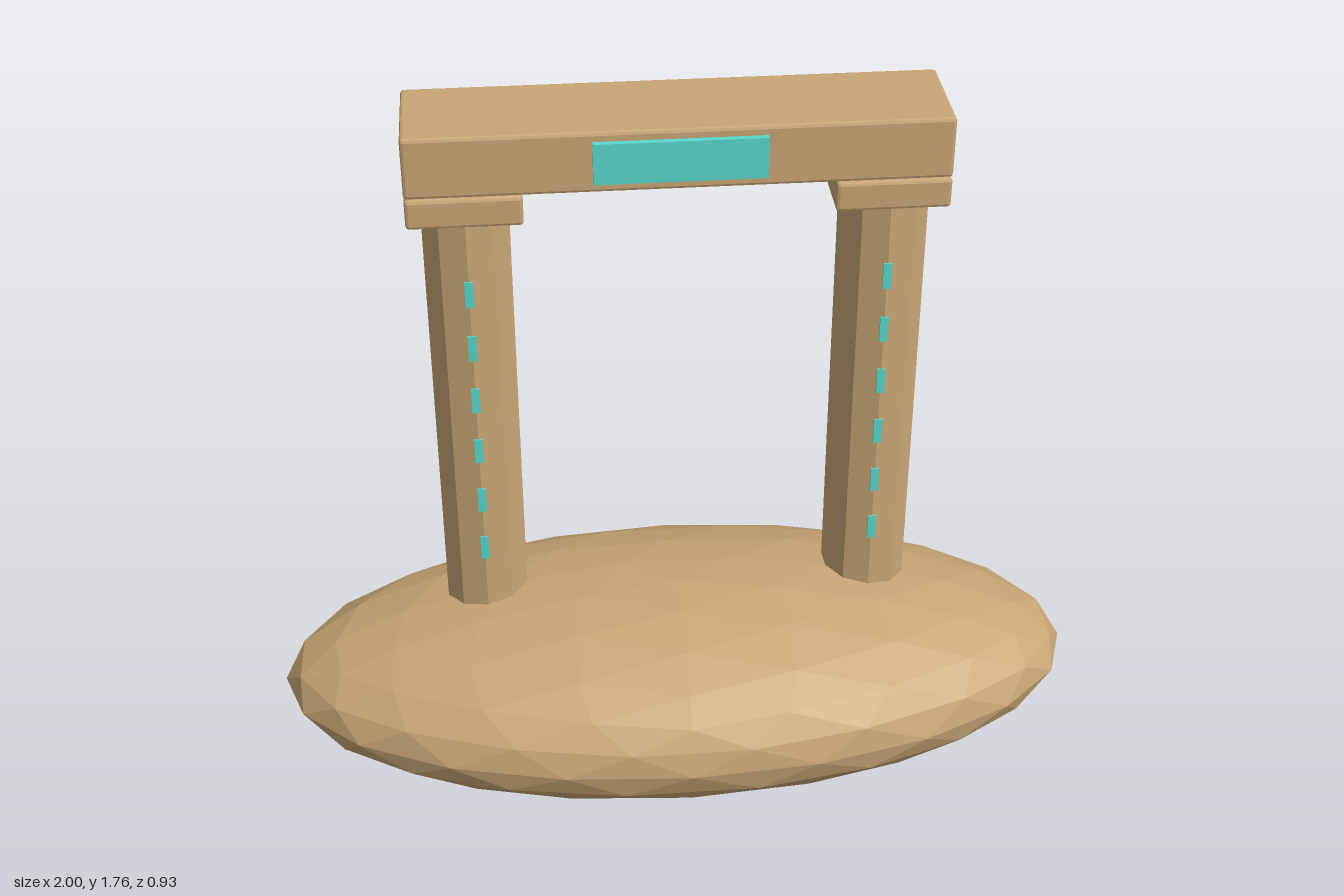
import * as THREE from 'three';
import { RoundedBoxGeometry } from 'three/addons/geometries/RoundedBoxGeometry.js';

export function createModel() {
  const model = new THREE.Group();
  model.name = 'stoneGate';

  const sandstone = new THREE.MeshStandardMaterial({ color: 0xc8a675, flatShading: true });
  sandstone.name = 'sandstone';
  const turquoise = new THREE.MeshStandardMaterial({ color: 0x58d8cc, flatShading: true });
  turquoise.name = 'turquoise';

  const add = (name, geometry, material, x, y, z) => {
    const mesh = new THREE.Mesh(geometry, material);
    mesh.name = name;
    mesh.position.set(x, y, z);
    model.add(mesh);
    return mesh;
  };

  const centreX = 0.005;   // the gate sits slightly off the middle of the rock
  const columnZ = -0.093;

  // Faceted rock: geodesic ball turned so one corner points up, then flattened
  const rock = new THREE.IcosahedronGeometry(1, 3);
  rock.rotateX(-Math.atan((1 + Math.sqrt(5)) / 2));
  rock.scale(1, 0.245, 0.463);
  rock.computeVertexNormals();
  add('rockBase', rock, sandstone, 0, 0.246, 0);

  // Two ten-sided columns with square capitals and a row of inlays
  const columnGeometry = new THREE.CylinderGeometry(0.105, 0.105, 1.24, 10);
  const capitalGeometry = new RoundedBoxGeometry(0.262, 0.072, 0.264, 1, 0.008);
  const inlayGeometry = new THREE.BoxGeometry(0.02, 0.066, 0.02);
  for (const [side, sign] of [['left', 1], ['right', -1]]) {
    const x = centreX + sign * 0.481;
    add(side + 'Column', columnGeometry, sandstone, x, 0.93, columnZ);
    add(side + 'Capital', capitalGeometry, sandstone, centreX + sign * 0.481, 1.576, -0.094);
    for (let i = 0; i < 6; i++) {
      add(side + 'Inlay' + (i + 1), inlayGeometry, turquoise, x, 0.637 + i * 0.1436, 0.005);
    }
  }

  // Lintel across the top with its front panel
  add('lintel', new RoundedBoxGeometry(1.224, 0.146, 0.264, 1, 0.008), sandstone, centreX, 1.688, -0.094);
  add('lintelPanel', new THREE.BoxGeometry(0.388, 0.098, 0.02), turquoise, centreX, 1.69, 0.042);

  return model;
}
